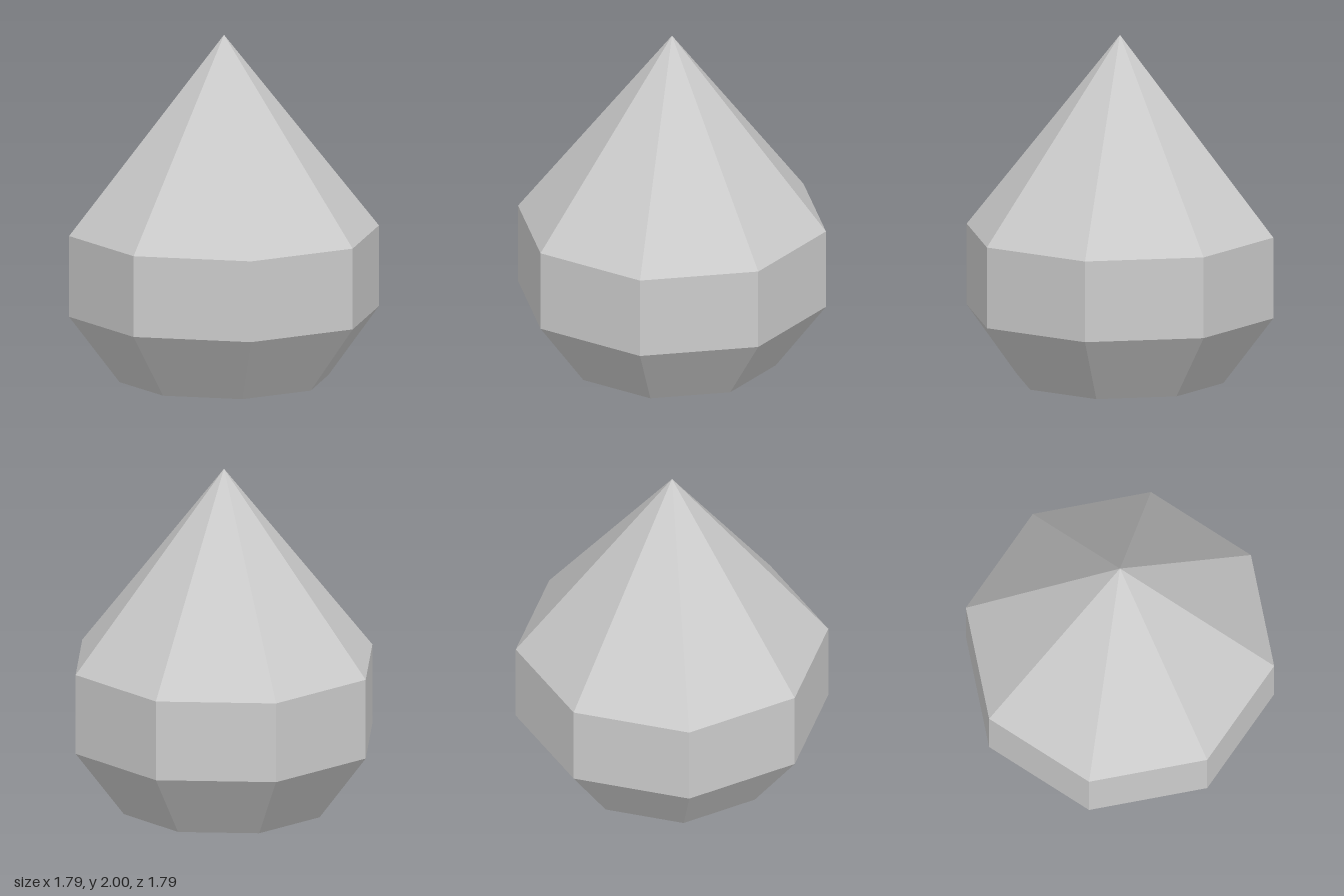
import * as THREE from 'three';

const SIDES = 8;

export function createModel() {
  const group = new THREE.Group();
  group.name = 'facetedDrop';
  const material = new THREE.MeshStandardMaterial({ color: 0xcccccc, flatShading: true });

  const add = (name, geometry) => {
    const mesh = new THREE.Mesh(geometry, material);
    mesh.name = name;
    group.add(mesh);
    return mesh;
  };

  // Open octagonal ring of facets between two heights
  const band = (name, y0, r0, y1, r1) => {
    const geometry = r1 === 0
      ? new THREE.ConeGeometry(r0, y1 - y0, SIDES, 1, true)
      : new THREE.CylinderGeometry(r1, r0, y1 - y0, SIDES, 1, true);
    add(name, geometry).position.y = (y0 + y1) / 2;
  };

  band('lowerTaper', 0, 0.605, 0.39, 0.897);
  band('middleBand', 0.39, 0.897, 0.86, 0.897);
  band('pointedTop', 0.86, 0.897, 2, 0);

  // Flat underside, facing down
  add('base', new THREE.CircleGeometry(0.605, SIDES).rotateX(Math.PI / 2));

  return group;
}
